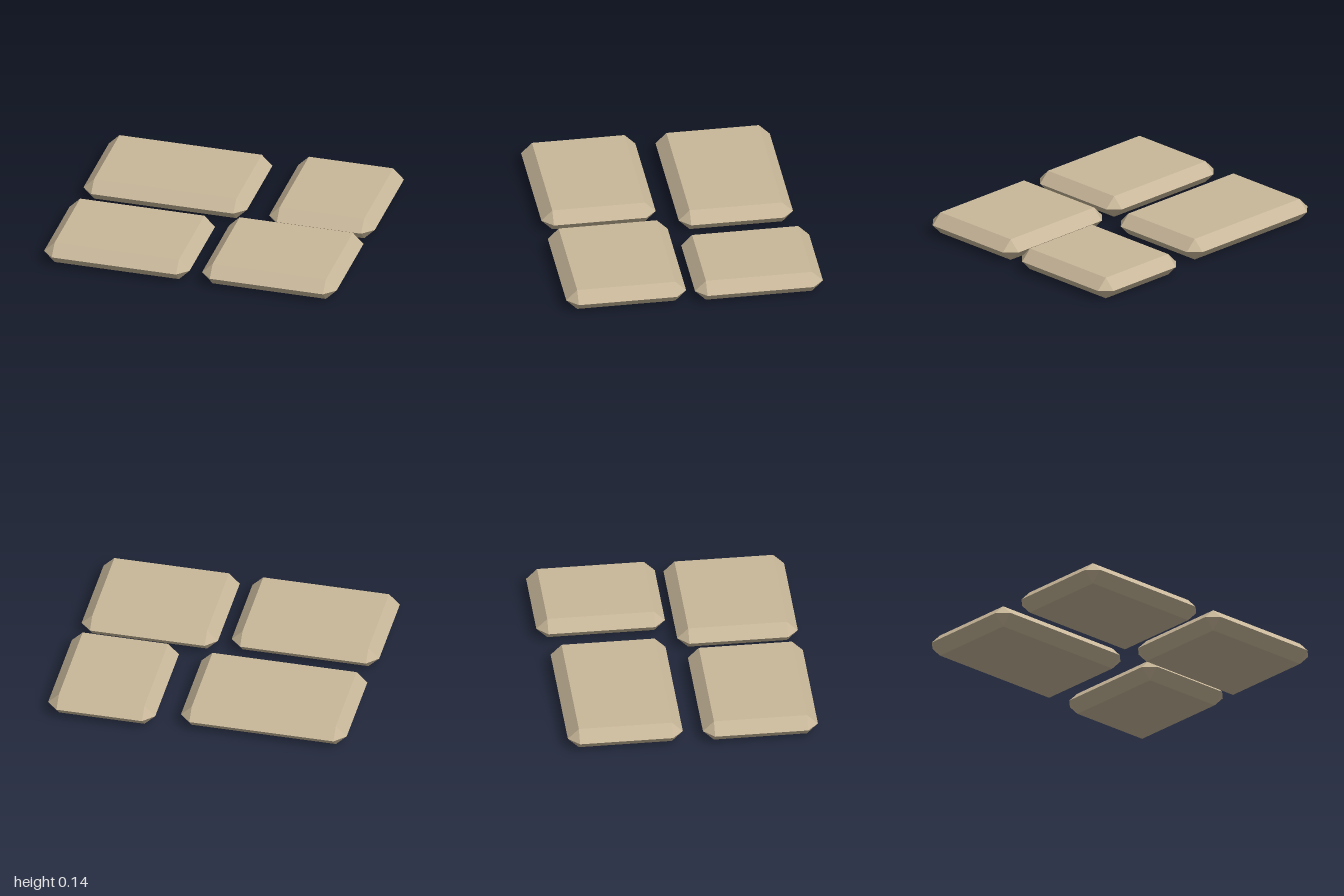
import * as THREE from 'three';
import { ConvexGeometry } from 'three/addons/geometries/ConvexGeometry.js';

const HEIGHT = 0.145;
const BEVEL = 0.072;

// Slab with flat top and bottom, edges bevelled to a mid-height ridge, corners cut
function slabGeometry(width, depth) {
  const points = [];
  const x = width / 2, z = depth / 2;
  for (const sx of [-1, 1]) {
    for (const sz of [-1, 1]) {
      const ix = sx * (x - BEVEL), iz = sz * (z - BEVEL);
      points.push(
        new THREE.Vector3(ix, HEIGHT, iz),
        new THREE.Vector3(ix, 0, iz),
        new THREE.Vector3(sx * x, HEIGHT / 2, iz),
        new THREE.Vector3(ix, HEIGHT / 2, sz * z)
      );
    }
  }
  return new ConvexGeometry(points);
}

export function createModel() {
  const group = new THREE.Group();
  group.name = 'pavingStones';
  const stone = new THREE.MeshStandardMaterial({ color: 0xc8b799, flatShading: true });

  // name, x range, z range
  const slabs = [
    ['backRightStone', -0.983, 0.125, -0.792, -0.037],
    ['backLeftStone', 0.284, 1.0, -0.85, -0.005],
    ['frontRightStone', -1.0, -0.014, 0.093, 0.848],
    ['frontLeftStone', 0.069, 0.98, 0.05, 0.842],
  ];
  for (const [name, x0, x1, z0, z1] of slabs) {
    const mesh = new THREE.Mesh(slabGeometry(x1 - x0, z1 - z0), stone);
    mesh.name = name;
    mesh.position.set((x0 + x1) / 2, 0, (z0 + z1) / 2);
    group.add(mesh);
  }
  return group;
}
